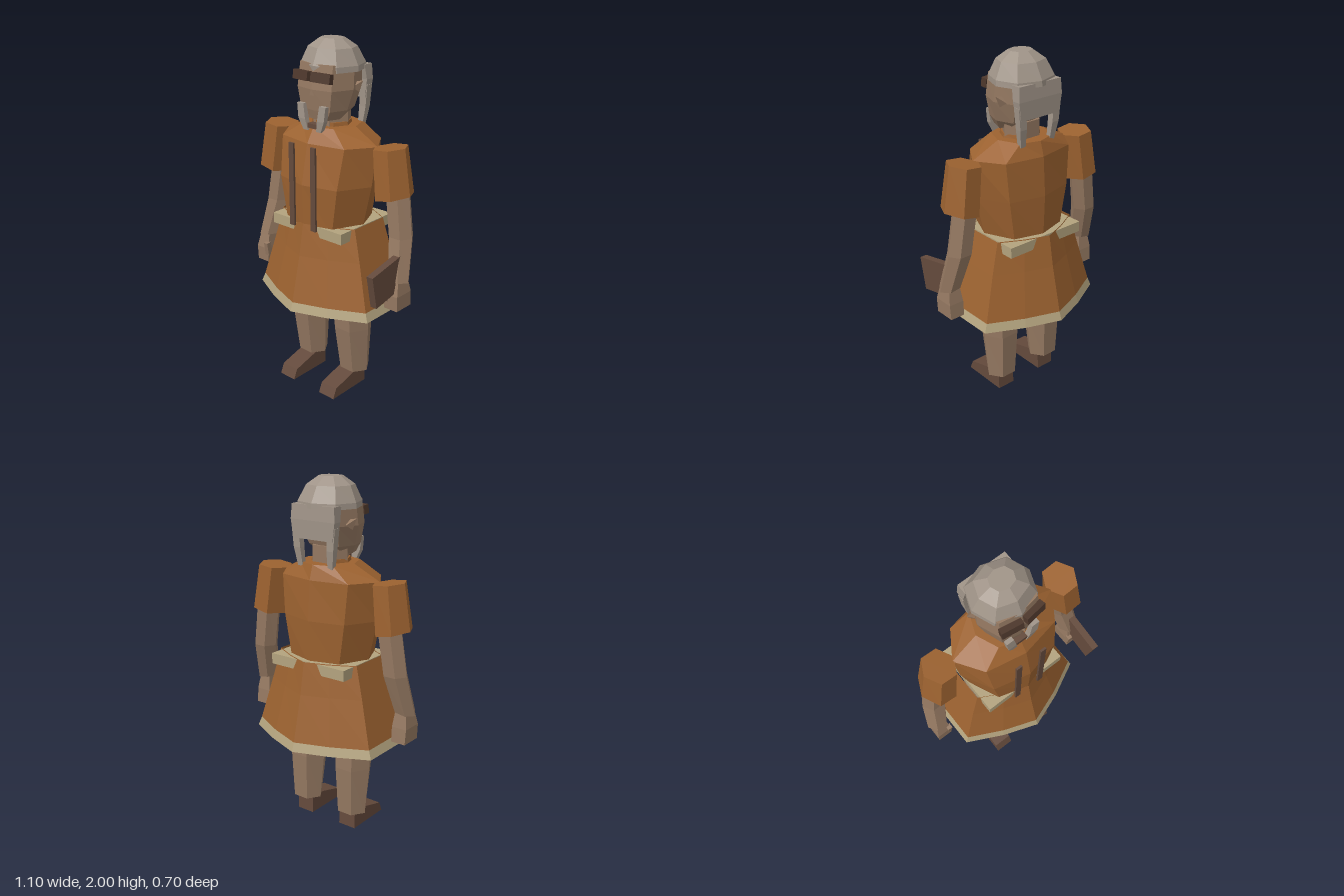
import * as THREE from 'three';

const mat = (name, color, double) => {
  const m = new THREE.MeshStandardMaterial({ color, flatShading: true });
  m.name = name;
  if (double) m.side = THREE.DoubleSide;
  return m;
};

// Rings are lists of [x, y, z] corners, running from +x towards +z
const ovalRing = (y, w, zf, zb, c = 0.69, k = 0.78) => {
  const m = (zf + zb) / 2, d = (zf - zb) / 2;
  return [[w, m], [c * w, m + k * d], [0, zf], [-c * w, m + k * d],
    [-w, m], [-c * w, m - k * d], [0, zb], [c * w, m - k * d]].map(([x, z]) => [x, y, z]);
};
const skirtRing = (y, w, f) => [[w, 0.5], [w / 2, 0.79], [0, 1], [-w / 2, 0.79], [-w, 0.5],
  [-w, -0.5], [-w / 2, -0.79], [0, -1], [w / 2, -0.79], [w, -0.5]].map(([x, z]) => [x, y, z * f]);
const hexRing = (cx, y, cz, rx, rz, tilt = 0) => [[1, 0], [0.5, 1], [-0.5, 1], [-1, 0], [-0.5, -1], [0.5, -1]]
  .map(([a, b]) => [cx + a * rx, y + a * rx * tilt, cz + b * rz]);
const boxRing = (cx, y, cz, rx, rz) => [[1, -1], [1, 1], [-1, 1], [-1, -1]]
  .map(([a, b]) => [cx + a * rx, y, cz + b * rz]);

// Skin over rings stacked from bottom to top
function loft(rings, capped = true) {
  const p = [], n = rings[0].length;
  for (let r = 0; r < rings.length - 1; r++) {
    for (let i = 0; i < n; i++) {
      const j = (i + 1) % n, lo = rings[r], hi = rings[r + 1];
      p.push(...lo[i], ...hi[i], ...hi[j], ...lo[i], ...hi[j], ...lo[j]);
    }
  }
  if (capped) {
    const lo = rings[0], hi = rings[rings.length - 1];
    for (let i = 1; i < n - 1; i++) {
      p.push(...lo[0], ...lo[i], ...lo[i + 1], ...hi[0], ...hi[i + 1], ...hi[i]);
    }
  }
  const g = new THREE.BufferGeometry();
  g.setAttribute('position', new THREE.Float32BufferAttribute(p, 3));
  g.computeVertexNormals();
  return g;
}

export function createModel() {
  const root = new THREE.Group();
  root.name = 'villager';
  const cloth = mat('orange cloth', 0x9c6230, true);
  const cream = mat('cream trim', 0xb3a37e, true);
  const skin = mat('skin', 0x947861);
  const hair = mat('grey hair', 0xa09488);
  const leather = mat('brown leather', 0x644a3c);
  const dark = mat('dark brown', 0x4e382c);

  const add = (name, geo, m, x = 0, y = 0, z = 0, rx = 0, ry = 0, rz = 0) => {
    const mesh = new THREE.Mesh(geo, m);
    mesh.name = name;
    mesh.position.set(x, y, z);
    mesh.rotation.set(rx, ry, rz);
    root.add(mesh);
    return mesh;
  };
  const box = (w, h, d) => new THREE.BoxGeometry(w, h, d);

  // Tunic, open skirt and belt
  add('tunic', loft([
    ovalRing(0.99, 0.235, 0.235, -0.19), ovalRing(1.25, 0.295, 0.245, -0.2),
    ovalRing(1.47, 0.32, 0.2, -0.185), ovalRing(1.55, 0.16, 0.15, -0.16),
  ]), cloth);
  add('skirt', loft([
    skirtRing(0.59, 0.386, 0.333), skirtRing(0.85, 0.315, 0.272), skirtRing(1.03, 0.265, 0.24),
  ], false), cloth);
  add('skirtHem', loft([skirtRing(0.54, 0.405, 0.35), skirtRing(0.59, 0.386, 0.333)], false), cream);
  add('belt', box(0.5, 0.06, 0.43), cream, 0, 0.995, 0);

  // Neck and collar clasp
  add('neck', loft([hexRing(0, 1.5, 0, 0.11, 0.09), hexRing(0, 1.64, 0, 0.11, 0.09)]), skin);
  add('collar', loft([ovalRing(1.545, 0.115, 0.1, -0.09), ovalRing(1.57, 0.11, 0.1, -0.09)]), cloth);
  add('clasp', box(0.07, 0.025, 0.04), leather, 0, 1.555, 0.14);

  // Head, nose and hair
  add('head', loft([
    ovalRing(1.59, 0.1, 0.14, -0.02, 0.75, 0.85), ovalRing(1.64, 0.135, 0.152, -0.08, 0.75, 0.85),
    ovalRing(1.75, 0.165, 0.163, -0.12, 0.72, 0.85), ovalRing(1.88, 0.158, 0.145, -0.13, 0.72, 0.85),
  ]), skin);
  add('nose', new THREE.ConeGeometry(0.016, 0.03, 3), skin, 0, 1.737, 0.166);
  add('hairCap', loft([
    ovalRing(1.84, 0.172, 0.15, -0.168, 0.74, 0.74), ovalRing(1.87, 0.17, 0.152, -0.166, 0.74, 0.74),
    ovalRing(1.955, 0.13, 0.115, -0.12, 0.74, 0.74), ovalRing(2, 0.066, 0.058, -0.058, 0.74, 0.74),
  ]), hair);
  add('backHair', loft([
    boxRing(0, 1.68, -0.135, 0.13, 0.022), boxRing(0, 1.78, -0.135, 0.145, 0.025),
    boxRing(0, 1.86, -0.125, 0.14, 0.03),
  ]), hair);

  for (const s of [1, -1]) {
    const side = s > 0 ? 'left' : 'right';
    // Mirrored rings keep their winding by reversing the corner order
    const limb = (name, rings, m) => add(side + name,
      loft(s > 0 ? rings : rings.map((r) => r.map(([x, y, z]) => [-x, y, z]).reverse())), m);

    // Face details
    add(side + 'Ear', new THREE.ConeGeometry(0.032, 0.06, 4), skin, s * 0.165, 1.775, -0.025, 0, 0, -s * 0.9);
    add(side + 'EyePiece', box(0.118, 0.05, 0.035), dark, s * 0.067, 1.817, 0.158, -0.15, s * 0.15, 0);
    limb('BackBraid', [
      boxRing(0.1, 1.53, -0.125, 0.016, 0.013), boxRing(0.11, 1.63, -0.135, 0.022, 0.018),
      boxRing(0.12, 1.75, -0.135, 0.024, 0.02),
    ], hair);
    limb('FrontBraid', [
      boxRing(0.045, 1.53, 0.15, 0.016, 0.012), boxRing(0.066, 1.59, 0.155, 0.024, 0.015),
      boxRing(0.078, 1.67, 0.155, 0.022, 0.012),
    ], hair);

    // Chest strap
    add(side + 'Strap', box(0.034, 0.465, 0.012), leather, s * 0.077, 1.237, 0.238);

    // Sleeve, arm and hand
    limb('Sleeve', [
      hexRing(0.425, 1.22, -0.01, 0.098, 0.102, 0.2), hexRing(0.39, 1.48, -0.01, 0.092, 0.088, 0.11),
    ], cloth);
    limb('Arm', [
      hexRing(0.488, 0.78, 0.02, 0.064, 0.052, -0.15), hexRing(0.455, 1.0, -0.035, 0.072, 0.058),
      hexRing(0.415, 1.27, -0.045, 0.074, 0.056),
    ], skin);
    limb('Hand', [
      boxRing(0.487, 0.615, 0.02, 0.043, 0.062), boxRing(0.487, 0.7, 0.025, 0.045, 0.06),
      boxRing(0.485, 0.79, 0.022, 0.034, 0.04),
    ], skin);
    add(side + 'Thumb', box(0.028, 0.08, 0.03), skin, s * 0.452, 0.7, 0.075, 0.15);

    // Leg and foot
    limb('Leg', [
      hexRing(0.163, 0.1, -0.012, 0.093, 0.072), hexRing(0.162, 0.38, 0.002, 0.11, 0.098),
      hexRing(0.16, 0.62, 0.012, 0.117, 0.1), hexRing(0.15, 0.93, 0.01, 0.11, 0.1),
    ], skin);
    const sole = new THREE.Shape([[-0.05, 0], [0.23, 0], [0.205, 0.058], [0.05, 0.1], [-0.045, 0.115]]
      .map(([z, y]) => new THREE.Vector2(z, y)));
    const foot = new THREE.ExtrudeGeometry(sole, { depth: 0.11, bevelEnabled: false });
    foot.translate(0, 0, -0.055).rotateY(-Math.PI / 2);
    add(side + 'Foot', foot, leather, s * 0.155);
  }

  // Book held at the left hand
  add('book', box(0.04, 0.19, 0.235), leather, 0.486, 0.8, 0.13, 0.2);

  return root;
}
